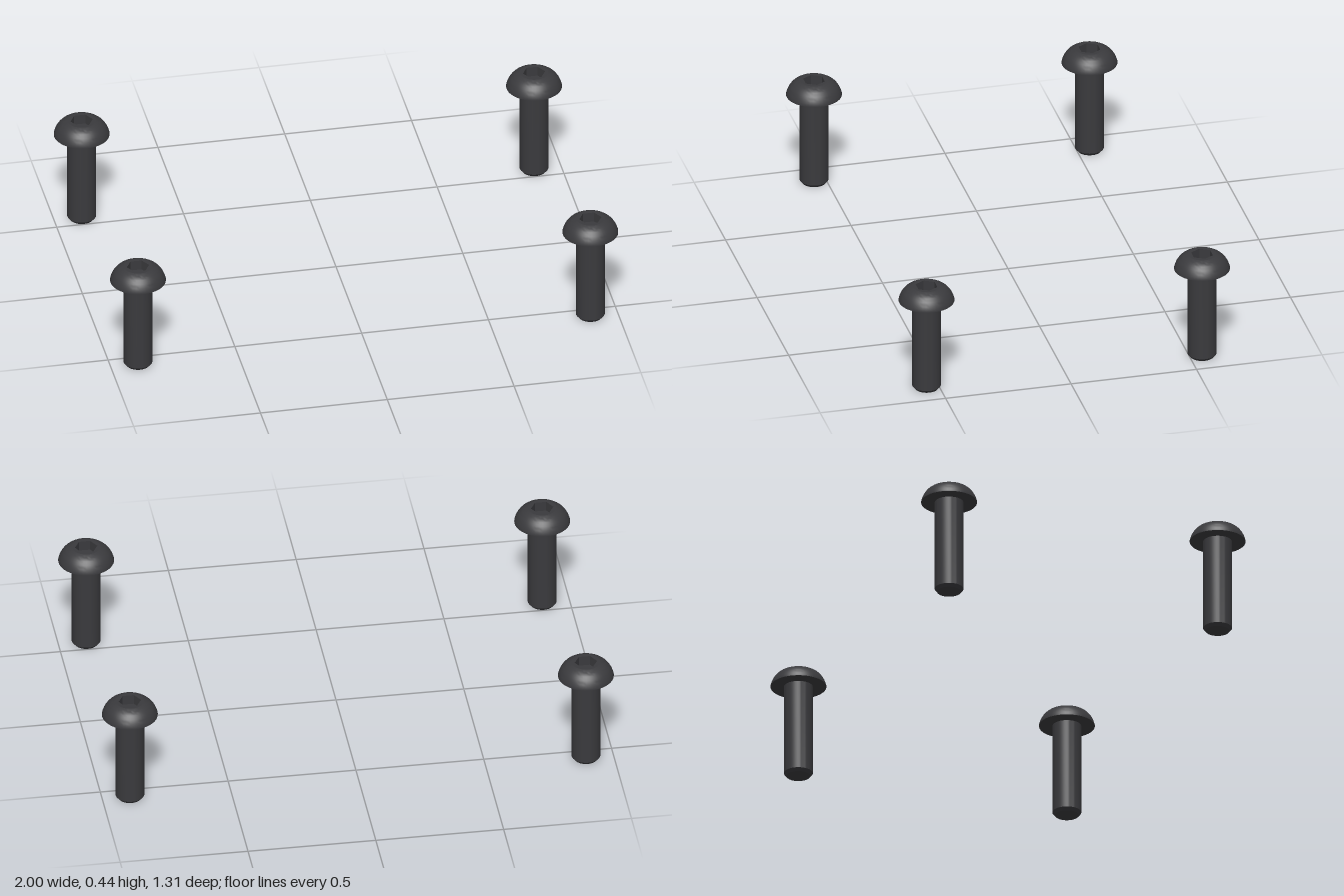
import * as THREE from 'three';
import { toCreasedNormals } from 'three/addons/utils/BufferGeometryUtils.js';

const HEAD_R = 0.108, SHAFT_R = 0.056, TOP_R = 0.055, HEX_R = 0.0438;
const HEAD_Y = 0.38, TOP_Y = 0.4425, SOCKET_DEPTH = 0.04;

const steel = new THREE.MeshStandardMaterial({ color: 0x3a3a3d });
const socketSteel = steel.clone();
socketSteel.side = THREE.BackSide;

const lathe = (points) => toCreasedNormals(
  new THREE.LatheGeometry(points.map(([x, y]) => new THREE.Vector2(x, y)), 48), 0.5);

// Shaft with a closed, chamfered tip
const shaftGeo = lathe([[0, 0], [0.046, 0], [SHAFT_R, 0.012], [SHAFT_R, HEAD_Y]]);

// Domed button head: flat underside, short rim, curved crown
const crown = new THREE.QuadraticBezierCurve(
  new THREE.Vector2(HEAD_R, HEAD_Y + 0.004),
  new THREE.Vector2(0.096, 0.431),
  new THREE.Vector2(TOP_R, TOP_Y));
const headGeo = lathe([
  [SHAFT_R, HEAD_Y], [HEAD_R, HEAD_Y],
  ...crown.getPoints(10).map((p) => [p.x, p.y]),
]);

// Flat ring on top, pierced by the hexagon
const ring = new THREE.Shape().absarc(0, 0, TOP_R, 0, Math.PI * 2);
const hexPoints = Array.from({ length: 6 }, (_, i) => {
  const a = i * Math.PI / 3;
  return new THREE.Vector2(Math.cos(a) * HEX_R, Math.sin(a) * HEX_R);
});
ring.holes.push(new THREE.Path(hexPoints));
const topGeo = new THREE.ShapeGeometry(ring, 24).rotateX(-Math.PI / 2).translate(0, TOP_Y, 0);

// Hexagonal socket: inward facing walls and a floor
const wallGeo = toCreasedNormals(
  new THREE.CylinderGeometry(HEX_R, HEX_R, SOCKET_DEPTH, 6, 1, true)
    .rotateY(Math.PI / 2).translate(0, TOP_Y - SOCKET_DEPTH / 2, 0), 0.5);
const floorGeo = new THREE.CircleGeometry(HEX_R, 6)
  .rotateX(-Math.PI / 2).translate(0, TOP_Y - SOCKET_DEPTH, 0);

function createScrew(name) {
  const screw = new THREE.Group();
  screw.name = name;
  const add = (partName, geometry, material = steel) => {
    const mesh = new THREE.Mesh(geometry, material);
    mesh.name = partName;
    screw.add(mesh);
  };
  add('shaft', shaftGeo);
  add('head', headGeo);
  add('headTop', topGeo);
  add('socketWalls', wallGeo, socketSteel);
  add('socketFloor', floorGeo);
  return screw;
}

export function createModel() {
  const model = new THREE.Group();
  model.name = 'screwSet';
  // One screw at each corner of a rectangle
  for (const [side, x] of [['Left', 1], ['Right', -1]]) {
    for (const [end, z] of [['front', 1], ['back', -1]]) {
      const screw = createScrew(`${end}${side}Screw`);
      screw.position.set(x * 0.892, 0, z * 0.549);
      model.add(screw);
    }
  }
  return model;
}
